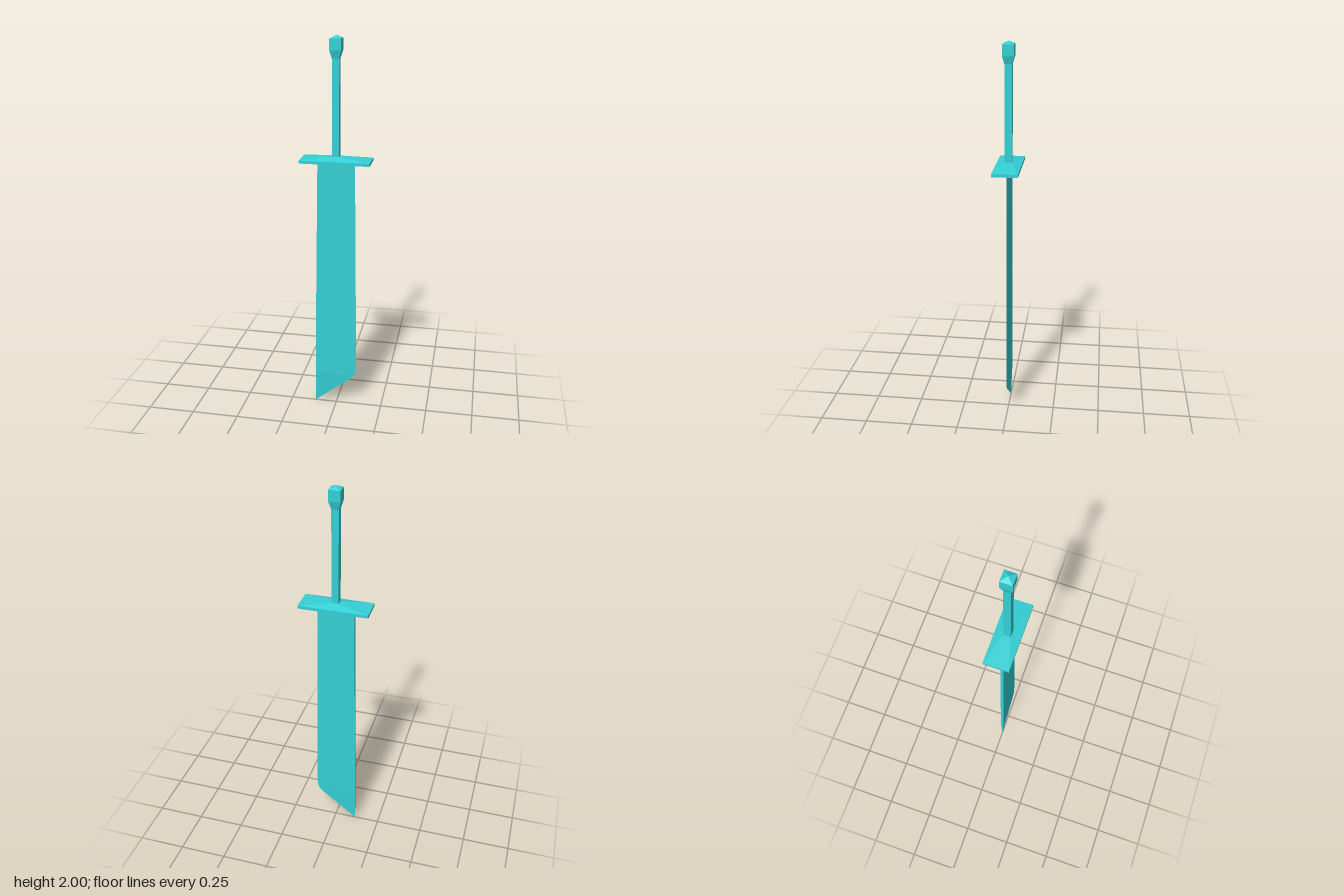
import * as THREE from 'three';

const material = new THREE.MeshStandardMaterial({ color: 0x35d0d5, flatShading: true });

function addPart(group, name, geometry) {
  const mesh = new THREE.Mesh(geometry, material);
  mesh.name = name;
  group.add(mesh);
}

// Square-section upright from [halfWidth, y] pairs, listed bottom to top
function squareLathe(profile) {
  const points = profile.map(([h, y]) => new THREE.Vector2(h * Math.SQRT2, y));
  return new THREE.LatheGeometry(points, 4, Math.PI / 4);
}

// Slab with a hipped top that closes in on the grip
function guardGeometry() {
  const geometry = new THREE.BoxGeometry(0.356, 1, 0.13, 1, 2, 1);
  const p = geometry.attributes.position;
  for (let i = 0; i < p.count; i++) {
    const level = Math.round(p.getY(i) * 2) + 1;
    p.setY(i, [1.38, 1.395, 1.41][level]);
    if (level === 2) {
      p.setX(i, Math.sign(p.getX(i)) * 0.018);
      p.setZ(i, Math.sign(p.getZ(i)) * 0.018);
    }
  }
  geometry.computeVertexNormals();
  return geometry;
}

// Wedge-section blade: flat spine on -x, sharp edge on +x, slanted tip
function bladeGeometry() {
  // spine x, spine y, half thickness, edge x, edge y
  const rows = [
    [-0.095, 1.39, 0.008, 0.095, 1.39],
    [-0.105, 0.8, 0.008, 0.103, 0.8],
    [-0.113, 0.3, 0.008, 0.11, 0.3],
    [-0.114, 0.22, 0.008, 0.11, 0.215],
    [-0.114, 0.19, 0.008, 0.104, 0.185],
    [-0.114, 0.15, 0.006, 0.085, 0.158],
    [-0.115, 0.11, 0.0045, 0.04, 0.122],
    [-0.115, 0.08, 0.003, 0, 0.092],
    [-0.115, 0, 0.0005, -0.114, 0.001],
  ];
  const positions = [];
  const index = [];
  rows.forEach(([sx, sy, t, ex, ey], r) => {
    positions.push(sx, sy, t, ex, ey, 0, sx, sy, -t);
    if (r === 0) return;
    for (let k = 0; k < 3; k++) {
      const a = (r - 1) * 3 + k;
      const b = (r - 1) * 3 + ((k + 1) % 3);
      index.push(a, a + 3, b + 3, a, b + 3, b);
    }
  });
  const last = (rows.length - 1) * 3;
  index.push(0, 1, 2, last, last + 2, last + 1);
  const geometry = new THREE.BufferGeometry();
  geometry.setAttribute('position', new THREE.Float32BufferAttribute(positions, 3));
  geometry.setIndex(index);
  geometry.computeVertexNormals();
  return geometry;
}

export function createModel() {
  const group = new THREE.Group();
  group.name = 'sword';
  addPart(group, 'blade', bladeGeometry());
  addPart(group, 'guard', guardGeometry());
  addPart(group, 'grip', squareLathe([[0.018, 1.4], [0.018, 1.895]]));
  addPart(group, 'pommel', squareLathe([[0.018, 1.89], [0.029, 1.93], [0.029, 1.985], [0, 2]]));
  return group;
}
